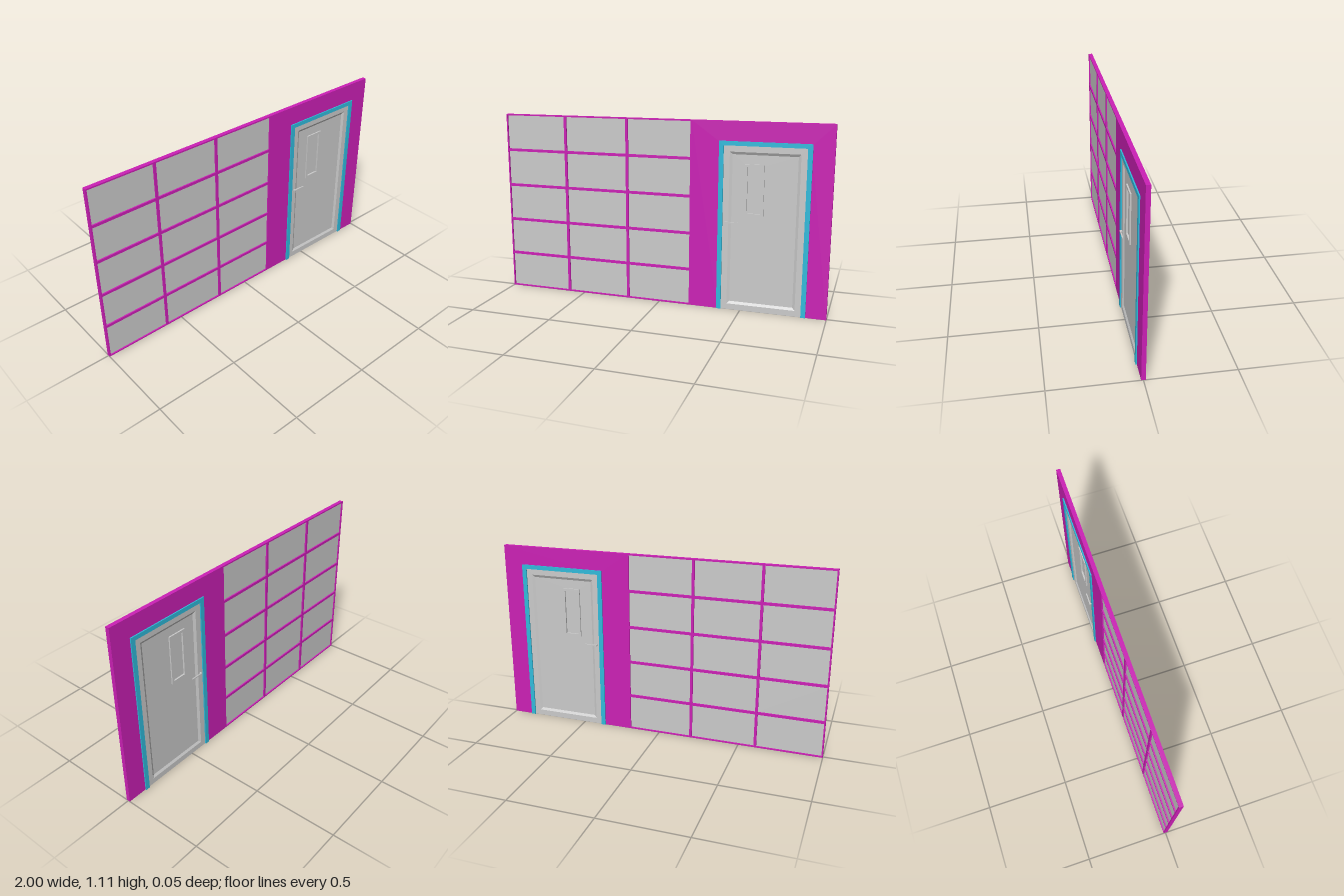
import * as THREE from 'three';

const H = 1.112;        // wall height
const WALL_Z = 0.012;   // half thickness of wall and door leaf
const FRAME_Z = 0.019;  // half thickness of door frame
const DOOR_X = 0.62;    // door centre

const grey = new THREE.MeshStandardMaterial({ color: 0xcccccc });
const magenta = new THREE.MeshStandardMaterial({ color: 0xcc20b6 });
const cyan = new THREE.MeshStandardMaterial({ color: 0x30bbdc });

function add(parent, name, geometry, material) {
  const mesh = new THREE.Mesh(geometry, material);
  mesh.name = name;
  parent.add(mesh);
  return mesh;
}

// Box given by its limits on each axis
function box(parent, name, material, [x0, x1], [y0, y1], [z0, z1]) {
  const mesh = add(parent, name, new THREE.BoxGeometry(x1 - x0, y1 - y0, z1 - z0), material);
  mesh.position.set((x0 + x1) / 2, (y0 + y1) / 2, (z0 + z1) / 2);
  return mesh;
}

const rect = (x0, x1, y0, y1) => [[x0, y0], [x1, y0], [x1, y1], [x0, y1]];
const points = (list) => list.map(([x, y]) => new THREE.Vector2(x, y));

// Flat plate from z0 to z1 with an optional hole
function plate(outline, hole, z0, z1) {
  const shape = new THREE.Shape(points(outline));
  if (hole) shape.holes.push(new THREE.Path(points(hole)));
  return new THREE.ExtrudeGeometry(shape, { depth: z1 - z0, bevelEnabled: false }).translate(0, 0, z0);
}

// Upside-down U: outer rectangle with a doorway cut out of its foot
const archway = (x0, x1, top, in0, in1, inTop) =>
  [[x0, 0], [in0, 0], [in0, inTop], [in1, inTop], [in1, 0], [x1, 0], [x1, top], [x0, top]];

// Sloped border from an outer rectangle at z0 to an inner one at z1, facing +z
function slopedBorder(outer, inner, z0, z1) {
  const pos = [];
  for (let i = 0; i < 4; i++) {
    const j = (i + 1) % 4;
    const a = [...outer[i], z0], b = [...outer[j], z0], c = [...inner[j], z1], d = [...inner[i], z1];
    pos.push(...a, ...b, ...c, ...a, ...c, ...d);
  }
  const geometry = new THREE.BufferGeometry();
  geometry.setAttribute('position', new THREE.Float32BufferAttribute(pos, 3));
  geometry.computeVertexNormals();
  return geometry;
}

function createGlazing() {
  const group = new THREE.Group();
  group.name = 'glazedGrid';
  const left = -1, right = 0.195, cols = 3, rows = 5, half = 0.008;
  const w = (right - left) / cols, h = H / rows;
  // Uprights and rails, half width at the outer edges
  for (let i = 0; i <= cols; i++) {
    const x = left + i * w;
    box(group, 'mullion', magenta, [Math.max(left, x - half), Math.min(right, x + half)], [0, H], [-WALL_Z, WALL_Z]);
  }
  for (let j = 0; j <= rows; j++) {
    const y = j * h;
    for (let i = 0; i < cols; i++) {
      box(group, 'rail', magenta, [left + i * w + half, left + (i + 1) * w - half],
        [Math.max(0, y - half), Math.min(H, y + half)], [-WALL_Z, WALL_Z]);
    }
  }
  // Recessed panes
  for (let i = 0; i < cols; i++) {
    for (let j = 0; j < rows; j++) {
      box(group, 'pane', grey, [left + i * w + half, left + (i + 1) * w - half],
        [Math.max(0, j * h + half), (j + 1) * h - half], [-0.004, 0.004]);
    }
  }
  return group;
}

function createDoor() {
  const group = new THREE.Group();
  group.name = 'door';
  add(group, 'doorFrame', plate(archway(0.358, 0.882, 1.0, 0.385, 0.855, 0.975), null, -FRAME_Z, FRAME_Z), cyan);

  // Leaf border around a recessed centre panel
  const recess = rect(0.42, 0.82, 0.035, 0.94);
  const inner = rect(0.435, 0.805, 0.05, 0.925);
  add(group, 'doorLeaf', plate(rect(0.385, 0.855, 0, 0.975), recess, -WALL_Z, WALL_Z), grey);
  const panelZ = 0.004;
  const win = rect(0.508, 0.62, 0.572, 0.872);
  const glass = rect(0.524, 0.604, 0.588, 0.856);
  add(group, 'doorPanel', plate(inner, glass, -panelZ, panelZ), grey);
  add(group, 'windowPane', plate(glass, null, -0.002, 0.002), grey);

  for (const s of [1, -1]) {
    // Sloped edge of the recess, turned about the door centre for the back
    const slope = slopedBorder(recess, inner, WALL_Z, panelZ).translate(-DOOR_X, 0, 0);
    const border = add(group, 'recessSlope', slope, grey);
    border.position.x = DOOR_X;
    border.rotation.y = s > 0 ? 0 : Math.PI;

    // Raised window trim
    add(group, 'windowTrim', plate(win, glass, s > 0 ? panelZ : -WALL_Z, s > 0 ? WALL_Z : -panelZ), grey);

    // Lever handle on a short spindle
    const lever = box(group, 'handleLever', grey, [0.4, 0.476], [0.526, 0.534], [0.019, 0.026]);
    const spindle = box(group, 'handleSpindle', grey, [0.4, 0.408], [0.526, 0.534], [WALL_Z, 0.02]);
    lever.position.z *= s;
    spindle.position.z *= s;
  }
  return group;
}

export function createModel() {
  const model = new THREE.Group();
  model.name = 'partitionWall';
  // Solid wall section around the doorway
  add(model, 'wallPanel', plate(archway(0.195, 1, H, 0.365, 0.875, 0.99), null, -WALL_Z, WALL_Z), magenta);
  model.add(createGlazing(), createDoor());
  return model;
}
